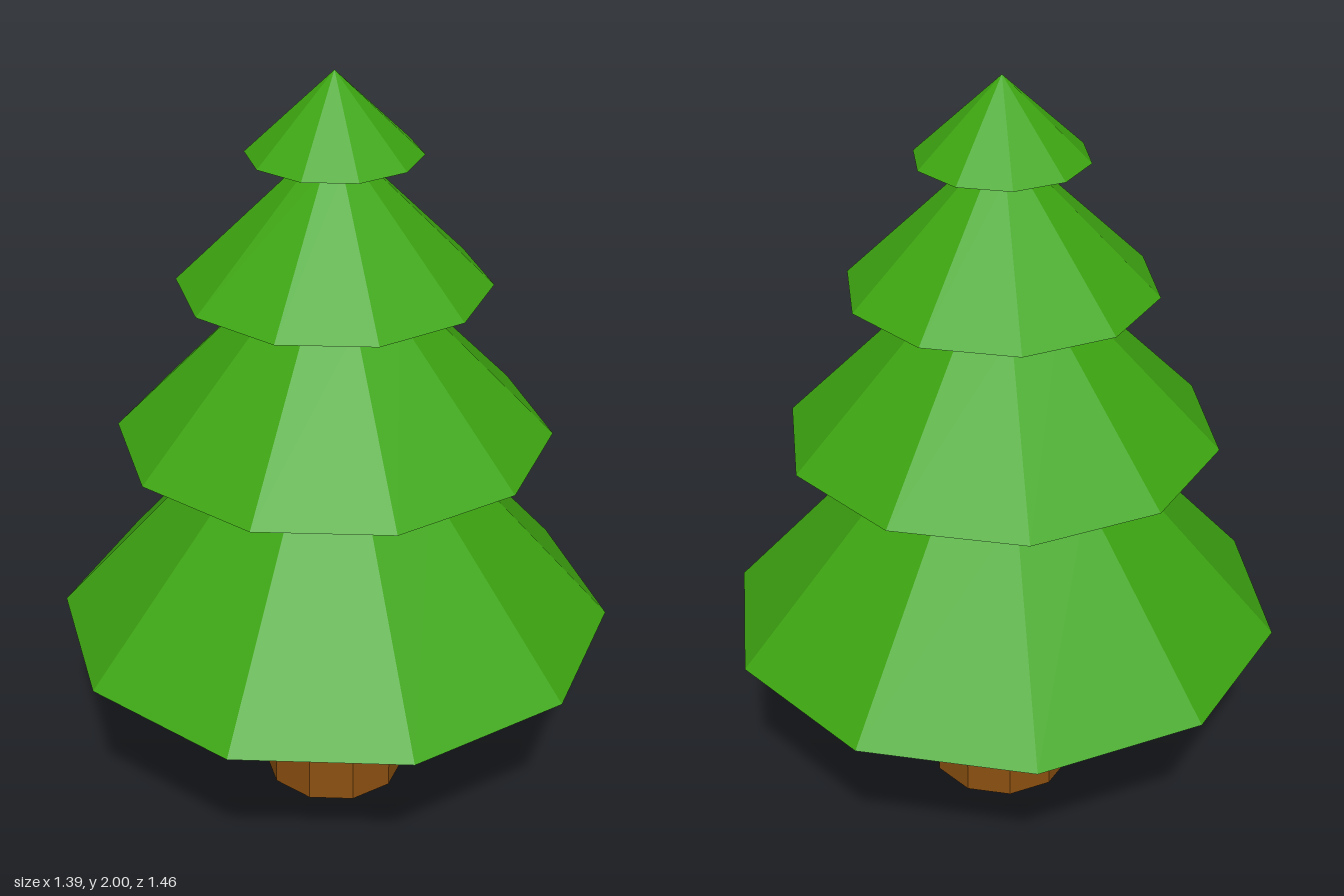
import * as THREE from 'three';

const SIDES = 10;

// Faceted ten-sided frustum between two heights, with a corner on the z axis
function frustum(name, rBottom, yBottom, rTop, yTop, material, open = true) {
  const smooth = new THREE.CylinderGeometry(rTop, rBottom, yTop - yBottom, SIDES, 1, open);
  const geometry = smooth.toNonIndexed();
  geometry.computeVertexNormals();
  geometry.translate(0, (yBottom + yTop) / 2, 0);
  const mesh = new THREE.Mesh(geometry, material);
  mesh.name = name;
  return mesh;
}

export function createModel() {
  const leaf = new THREE.MeshStandardMaterial({ color: 0x3da511 });
  leaf.name = 'leaf green';
  const bark = new THREE.MeshStandardMaterial({ color: 0x8b5010 });
  bark.name = 'bark brown';

  const tree = new THREE.Group();
  tree.name = 'pineTree';

  // Trunk
  tree.add(frustum('trunk', 0.192, 0, 0.192, 0.51, bark, false));

  // Foliage tiers, bottom to top: rim and neck as [radius, height]
  const tiers = [
    { rim: [0.729, 0.51], neck: [0.31, 0.98] },
    { rim: [0.56, 1.05], neck: [0.2, 1.42] },
    { rim: [0.395, 1.46], neck: [0.078, 1.772] },
    { rim: [0.218, 1.795], neck: [0, 2] },
  ];
  tiers.forEach(({ rim, neck }, i) => {
    const tier = new THREE.Group();
    tier.name = `foliageTier${i + 1}`;
    tier.add(frustum('slope', ...rim, ...neck, leaf));
    if (i > 0) {
      // Sloped underside joining the tier below
      tier.add(frustum('underside', ...tiers[i - 1].neck, ...rim, leaf));
    } else {
      // Flat underside of the lowest tier
      const disc = new THREE.CircleGeometry(rim[0], SIDES, Math.PI / 2);
      disc.rotateX(Math.PI / 2).translate(0, rim[1], 0);
      const base = new THREE.Mesh(disc, leaf);
      base.name = 'underside';
      tier.add(base);
    }
    tree.add(tier);
  });

  return tree;
}
